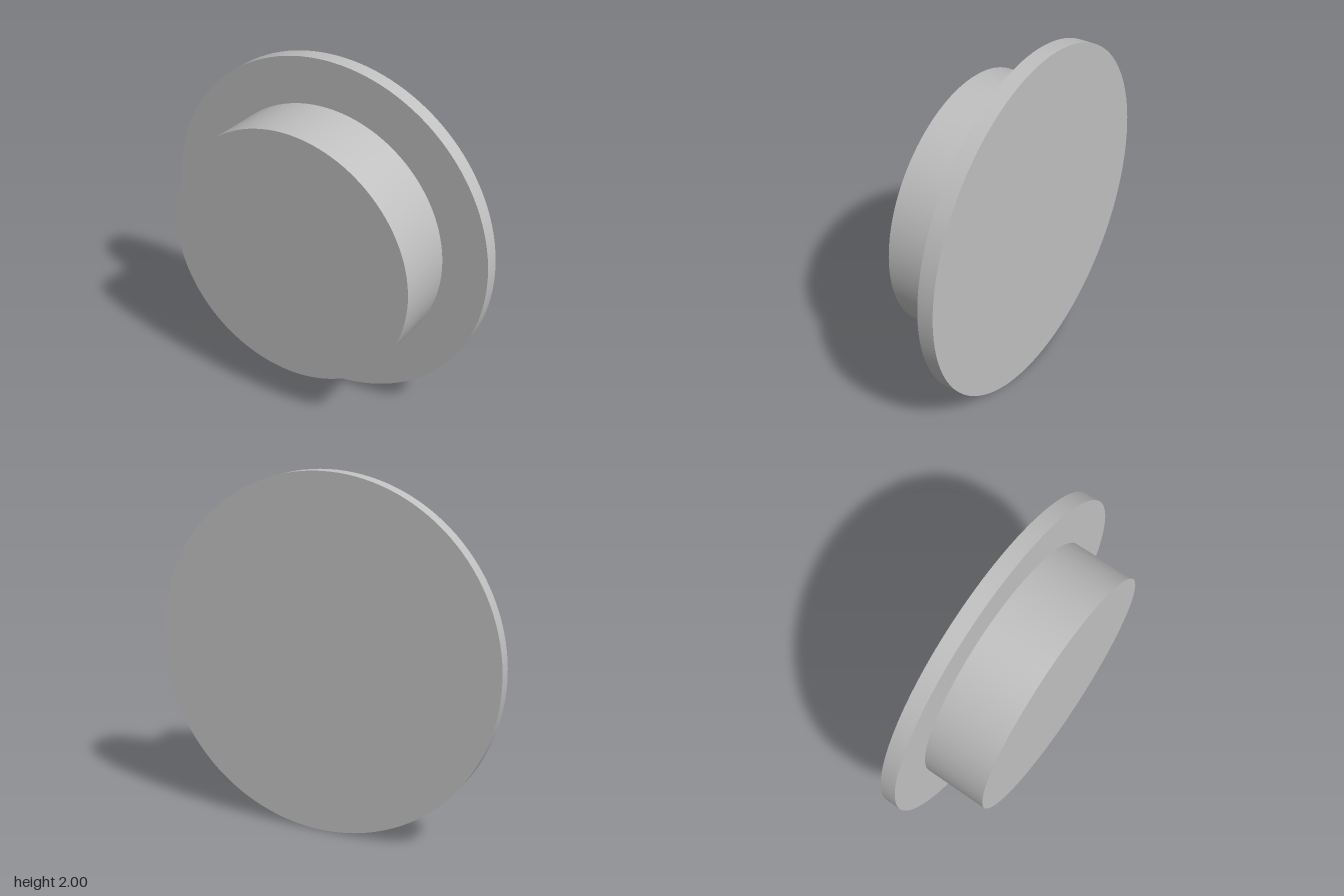
import * as THREE from 'three';

export function createModel() {
  const model = new THREE.Group();
  model.name = 'flangedPlug';
  const grey = new THREE.MeshStandardMaterial({ color: 0xc0c0c0 });
  grey.name = 'plain grey';

  // Disc along local x, spanning from x0 to x1
  const addDisc = (name, radius, x0, x1) => {
    const geometry = new THREE.CylinderGeometry(radius, radius, x1 - x0, 128);
    geometry.rotateZ(-Math.PI / 2);
    const mesh = new THREE.Mesh(geometry, grey);
    mesh.name = name;
    mesh.position.x = (x0 + x1) / 2;
    model.add(mesh);
  };

  // Wide thin flange, with its outer face at local x = 0
  addDisc('flange', 1, -0.09, 0);
  // Narrower boss, seated slightly into the flange
  addDisc('boss', 0.74, -0.46, -0.085);

  // Whole piece stands on its rim, turned about the vertical
  model.rotation.y = THREE.MathUtils.degToRad(12);
  model.position.set(0.2, 1, -0.01);

  const root = new THREE.Group();
  root.name = 'model';
  root.add(model);
  return root;
}
